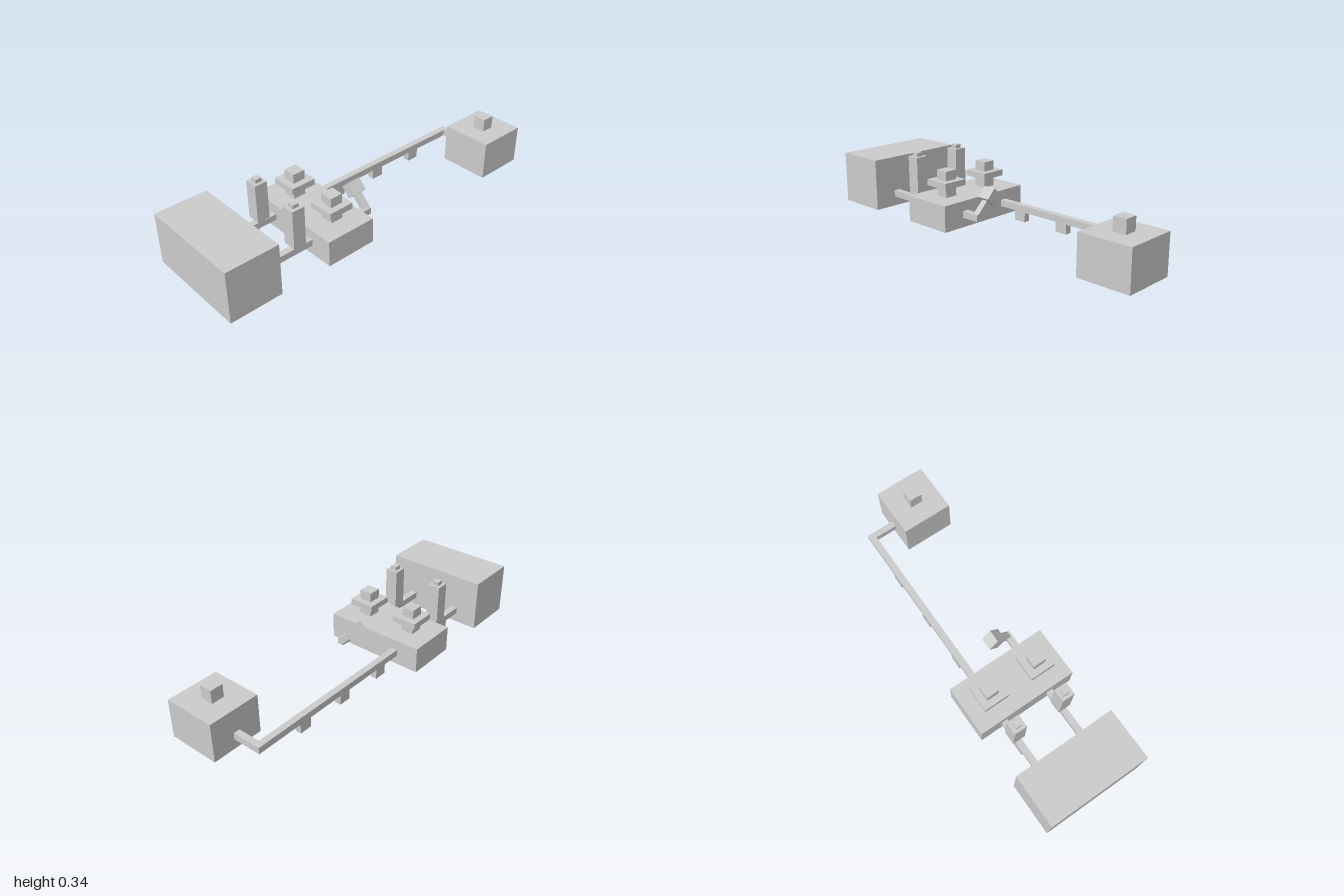
import * as THREE from 'three';

export function createModel() {
  const model = new THREE.Group();
  const material = new THREE.MeshStandardMaterial({ color: 0xcccccc, flatShading: true });
  const U = 1 / 14; // modular unit

  // Box given by its extents along x, y and z
  function block(name, [x0, x1], [y0, y1], [z0, z1], parent = model) {
    const mesh = new THREE.Mesh(new THREE.BoxGeometry(x1 - x0, y1 - y0, z1 - z0), material);
    mesh.position.set((x0 + x1) / 2, (y0 + y1) / 2, (z0 + z1) / 2);
    mesh.name = name;
    parent.add(mesh);
    return mesh;
  }
  // Square block standing on a centre point
  const post = (name, x, z, width, y0, y1, parent) =>
    block(name, [x - width / 2, x + width / 2], [y0, y1], [z - width / 2, z + width / 2], parent);

  // Main housings
  block('frontTank', [-4 * U, 4 * U], [0, 4 * U], [10 * U, 14 * U]);
  block('middleHousing', [-4 * U, 4 * U], [0, 2 * U], [2 * U, 6 * U]);
  block('rearTank', [0, 4 * U], [0, 3 * U], [-14 * U, -10 * U]);
  post('rearTankCap', 2 * U, -12 * U, U, 3 * U, 4 * U);

  // Pipes
  const pipeY = [0.75 * U, 1.25 * U];
  const pipeX = (x) => [x - U / 4, x + U / 4];
  block('longPipe', pipeX(-2 * U), pipeY, [-12.25 * U, 2 * U]);
  block('rearElbowPipe', [-1.75 * U, 0], pipeY, [-12.25 * U, -11.75 * U]);
  block('shortPipe', pipeX(2 * U), pipeY, [0.5 * U, 2 * U]);

  // Feet under the long pipe
  for (const z of [8, 0, -4, -8]) {
    block('pipeFoot', pipeX(-2 * U), [0, pipeY[0]], [(z - 0.5) * U, (z + 0.5) * U]);
  }

  for (const x of [-2 * U, 2 * U]) {
    block('connectingPipe', pipeX(x), pipeY, [6 * U, 10 * U]);

    // Valve on the middle housing
    const valve = new THREE.Group();
    valve.name = 'valve';
    post('valveStem', x, 4 * U, U, 2 * U, 2.8 * U, valve);
    post('valveFlange', x, 4 * U, 2 * U, 2.8 * U, 3.27 * U, valve);
    post('valveTop', x, 4 * U, U, 3.27 * U, 4 * U, valve);
    model.add(valve);

    // Upright canister on the connecting pipe
    const canister = new THREE.Group();
    canister.name = 'canister';
    const z = 7.25 * U;
    post('canisterNeck', x, z, U / 2, pipeY[1], 1.5 * U, canister);
    post('canisterBody', x, z, U, 1.5 * U, 4.5 * U, canister);
    post('canisterCap', x, z, U / 2, 4.5 * U, 4.8 * U, canister);
    model.add(canister);
  }

  // Tilted nozzle at the end of the short pipe
  const nozzle = new THREE.Group();
  nozzle.name = 'nozzle';
  post('nozzleHead', 0, 0, U, -U / 2, U / 2, nozzle);
  post('nozzleArm', 0, 0, U / 2, -1.78 * U, -U / 2, nozzle);
  nozzle.position.set(0.7 * U, 2.31 * U, 0.75 * U);
  nozzle.rotation.z = Math.PI / 4;
  model.add(nozzle);

  return model;
}
